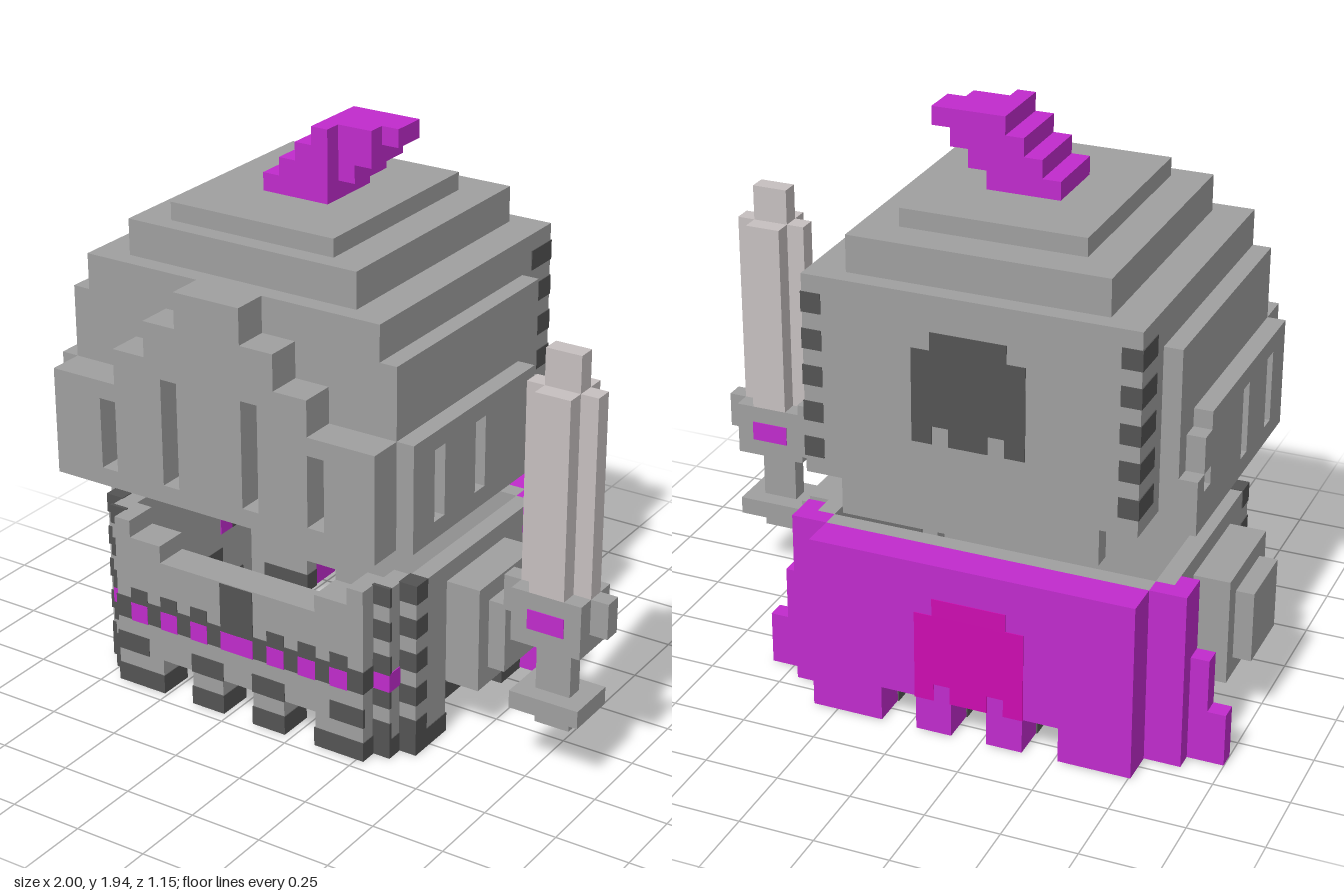
import * as THREE from 'three';

const U = 2 / 33; // size of one block

const material = (name, color) => {
  const m = new THREE.MeshStandardMaterial({ color });
  m.name = name;
  return m;
};

export function createModel() {
  const steel = material('steel grey', 0x9f9f9f);
  const dark = material('dark grey', 0x535353);
  const purple = material('purple cloth', 0xc02bcc);
  const crest = material('magenta crest', 0xcc0cb0);
  const blade = material('pale blade', 0xc6bfbf);

  const model = new THREE.Group();
  model.name = 'blockKnight';

  // Parts are laid out in block units, then scaled to size
  const section = (name) => {
    const g = new THREE.Group();
    g.name = name;
    g.scale.setScalar(U);
    g.position.set(-1, 0, -9.5 * U);
    model.add(g);
    return g;
  };
  const add = (g, name, geo, mat) => {
    const m = new THREE.Mesh(geo, mat);
    m.name = name;
    g.add(m);
    return m;
  };
  // Box between block coordinates, optionally grown by e
  const box = (g, name, mat, [x0, x1], [y0, y1], [z0, z1], e = 0) => {
    const geo = new THREE.BoxGeometry(x1 - x0 + 2 * e, y1 - y0 + 2 * e, z1 - z0 + 2 * e);
    add(g, name, geo, mat).position.set((x0 + x1) / 2, (y0 + y1) / 2, (z0 + z1) / 2);
  };
  const paint = (g, name, mat, x, y, z) => box(g, name, mat, x, y, z, 0.05);
  // Mirror an x range about the figure's middle line
  const sides = (fn) => [([a, b]) => [a, b], ([a, b]) => [26 - b, 26 - a]].forEach(fn);
  // Extruded wall with slots [u0, u1, y0, y1], facing z or x
  const wall = (g, name, mat, points, slots, [d0, d1], axis = 'z') => {
    const shape = new THREE.Shape(points.map((p) => new THREE.Vector2(...p)));
    for (const [a, b, c, d] of slots) {
      shape.holes.push(new THREE.Path([[a, c], [a, d], [b, d], [b, c]].map((p) => new THREE.Vector2(...p))));
    }
    const geo = new THREE.ExtrudeGeometry(shape, { depth: d1 - d0, bevelEnabled: false });
    if (axis === 'x') geo.rotateY(-Math.PI / 2).translate(d1, 0, 0);
    else geo.translate(0, 0, d0);
    add(g, name, geo, mat);
  };
  // Outline with square notches along the bottom edge
  const notched = (a, b, notches, top) => [
    [a, 0],
    ...notches.flatMap(([n0, n1]) => [[n0, 0], [n0, 2], [n1, 2], [n1, 0]]),
    [b, 0], ...top,
  ];
  const skirt = [[8, 10], [12, 14], [16, 18]];
  // Crest shared by helmet and cape
  const emblem = (g, mat, y, z) => {
    const rows = [[10, 16, 1, 5], [11, 15, 5, 6], [10, 11, 0, 1], [12, 14, 0, 1], [15, 16, 0, 1]];
    for (const [a, b, c, d] of rows) paint(g, 'crest', mat, [a, b], [y + c, y + d], z);
  };

  // ---- Helmet: hollow shell ----
  const helmet = section('helmet');
  const faceSlots = [[6, 7, 14, 18], [10, 11, 14, 20], [15, 16, 14, 20], [19, 20, 14, 18]];
  wall(helmet, 'faceWall', steel, [[4, 13], [22, 13], [22, 25], [4, 25]], faceSlots, [16, 17]);
  wall(helmet, 'visor', steel, [
    [3, 13], [23, 13], [23, 19], [19, 19], [19, 21], [17, 21], [17, 23], [15, 23], [15, 25],
    [11, 25], [11, 23], [9, 23], [9, 21], [7, 21], [7, 19], [3, 19],
  ], faceSlots, [17, 19]);
  wall(helmet, 'backWall', steel, [
    [4, 14], [6, 14], [6, 12], [20, 12], [20, 14], [22, 14], [22, 25], [4, 25],
  ], [], [0, 1]);
  box(helmet, 'roof', steel, [4, 22], [23, 25], [0, 17]);
  box(helmet, 'crown', steel, [6, 20], [25, 27], [1, 16]);
  box(helmet, 'crownTop', steel, [8, 18], [27, 28], [3, 15]);
  const earSlots = [[4, 5, 15, 16], [10, 11, 14, 18], [14, 15, 14, 18]];
  sides((m) => {
    box(helmet, 'rearSide', steel, m([4, 5]), [14, 25], [0, 4]);
    wall(helmet, 'sideWall', steel, [[3, 13], [17, 13], [17, 23], [3, 23]], earSlots, m([3, 4]), 'x');
    wall(helmet, 'cheekPlate', steel, [
      [3, 13], [17, 13], [17, 19], [5, 19], [5, 18], [4, 18], [4, 16], [3, 16],
    ], [[4.001, 5, 15, 16], ...earSlots.slice(1)], m([2, 3]), 'x');
    for (let y = 15; y < 25; y += 2) paint(helmet, 'edgeStripe', dark, m([4, 5]), [y, y + 1], [0, 2]);
  });
  emblem(helmet, dark, 17, [0, 1]);

  // ---- Plume: leaning stair ----
  const plume = section('plume');
  for (let r = 0; r < 4; r++) {
    for (let x = 11 + r; x < 15 + r; x++) {
      box(plume, 'plumeStep', purple, [x, x + 1], [28 + r, 29 + r], [7, x < 15 ? 11 : x < 17 ? 10 : 9]);
    }
  }

  // ---- Body armour: open at the top ----
  const armour = section('armour');
  const neck = [[20, 10], [20, 9], [18, 9], [18, 8], [8, 8], [8, 9], [6, 9], [6, 10]];
  wall(armour, 'chestInner', steel, notched(4, 22, skirt, [[22, 10], ...neck, [4, 10]]), [], [15, 16]);
  wall(armour, 'chestPlate', steel, notched(5, 21, skirt, [[21, 10], ...neck, [5, 10]]), [], [16, 17]);
  wall(armour, 'backPlate', steel, notched(4, 22, skirt, [[22, 10], [4, 10]]), [], [2, 3]);
  sides((m) => {
    wall(armour, 'flank', steel, notched(3, 15, [[6, 12]], [[15, 10], [3, 10]]), [], m([3, 4]), 'x');
    box(armour, 'corner', steel, m([4, 5]), [0, 10], [14, 15]);
    box(armour, 'shoulder', steel, m([1, 3]), [3, 9], [6, 12]);
    box(armour, 'arm', steel, m([0, 1]), [4, 8], [7, 11]);
    // Corner stripes, hems and trim
    for (let y = 1; y < 10; y += 2) {
      paint(armour, 'cornerStripe', dark, m([3, 4]), [y, y + 1], [14, 15]);
      paint(armour, 'cornerStripe', dark, m([4, 5]), [y, y + 1], [15.9, 16]);
    }
    paint(armour, 'beltStud', purple, m([4, 5]), [4, 5], [15, 16]);
    paint(armour, 'flankStud', purple, m([3, 4]), [4, 5], [5, 6]);
    paint(armour, 'flankBelt', dark, m([3, 4]), [4, 5], [4, 5]);
    for (const z of [[4, 6], [12, 15]]) paint(armour, 'flankHem', dark, m([3, 4]), [0, 1], z);
    for (const z of [[6, 8], [10, 12]]) paint(armour, 'flankMark', dark, m([3, 4]), [2, 3], z);
    paint(armour, 'cornerHem', dark, m([4, 5]), [0, 1], [14, 16]);
    for (const x of [[5, 8], [10, 12]]) {
      paint(armour, 'frontHem', dark, m(x), [0, 1], [15, 17]);
      paint(armour, 'backHem', dark, m(x), [0, 1], [2.1, 3]);
    }
    for (const x of [[5, 7], [10, 12]]) paint(armour, 'skirtMark', dark, m(x), [2, 3], [16.9, 17]);
    // Half of the belt: studs with a scallop above each
    for (const x of [6, 8, 10]) {
      paint(armour, 'beltStud', purple, m([x, x + 1]), [4, 5], [16.95, 17.02]);
      paint(armour, 'beltScallop', dark, m([x, x + 1]), [5, 5.9], [16.95, 17]);
    }
  });
  paint(armour, 'belt', dark, [5, 21], [4.05, 5.25], [16, 17]);
  paint(armour, 'buckle', purple, [12, 14], [4, 5], [16.95, 17.02]);
  paint(armour, 'chestMark', dark, [12, 14], [5, 7.9], [16.95, 17]);

  // ---- Cape ----
  const cape = section('cape');
  wall(cape, 'capeBack', purple, notched(4, 22, skirt, [[22, 10], [4, 10]]), [], [0, 2]);
  sides((m) => {
    box(cape, 'capeFold', purple, m([2, 4]), [0, 10], [2, 3]);
    box(cape, 'capeEdge', purple, m([2, 3]), [0, 10], [3, 4]);
    box(cape, 'capeWing', purple, m([1, 2]), [0, 6], [3, 4]);
    box(cape, 'capeTip', purple, m([0, 1]), [0, 3], [3, 4]);
  });
  emblem(cape, crest, 2, [0, 0.1]);

  // ---- Sword ----
  const sword = section('sword');
  box(sword, 'bladeWide', blade, [28, 32], [11, 22], [12, 13]);
  box(sword, 'bladeRidge', blade, [29, 31], [11, 22], [11, 14]);
  box(sword, 'bladeTip', blade, [29, 31], [22, 24], [12, 13]);
  box(sword, 'crossGuard', steel, [27, 33], [9, 11], [12, 13]);
  box(sword, 'guardBlock', steel, [28, 32], [8, 11], [11, 14]);
  paint(sword, 'guardGem', purple, [29, 31], [9, 10], [11, 14]);
  box(sword, 'grip', steel, [29, 31], [3, 8], [12, 13]);
  box(sword, 'pommel', steel, [28, 32], [4, 5], [11, 14]);

  return model;
}
